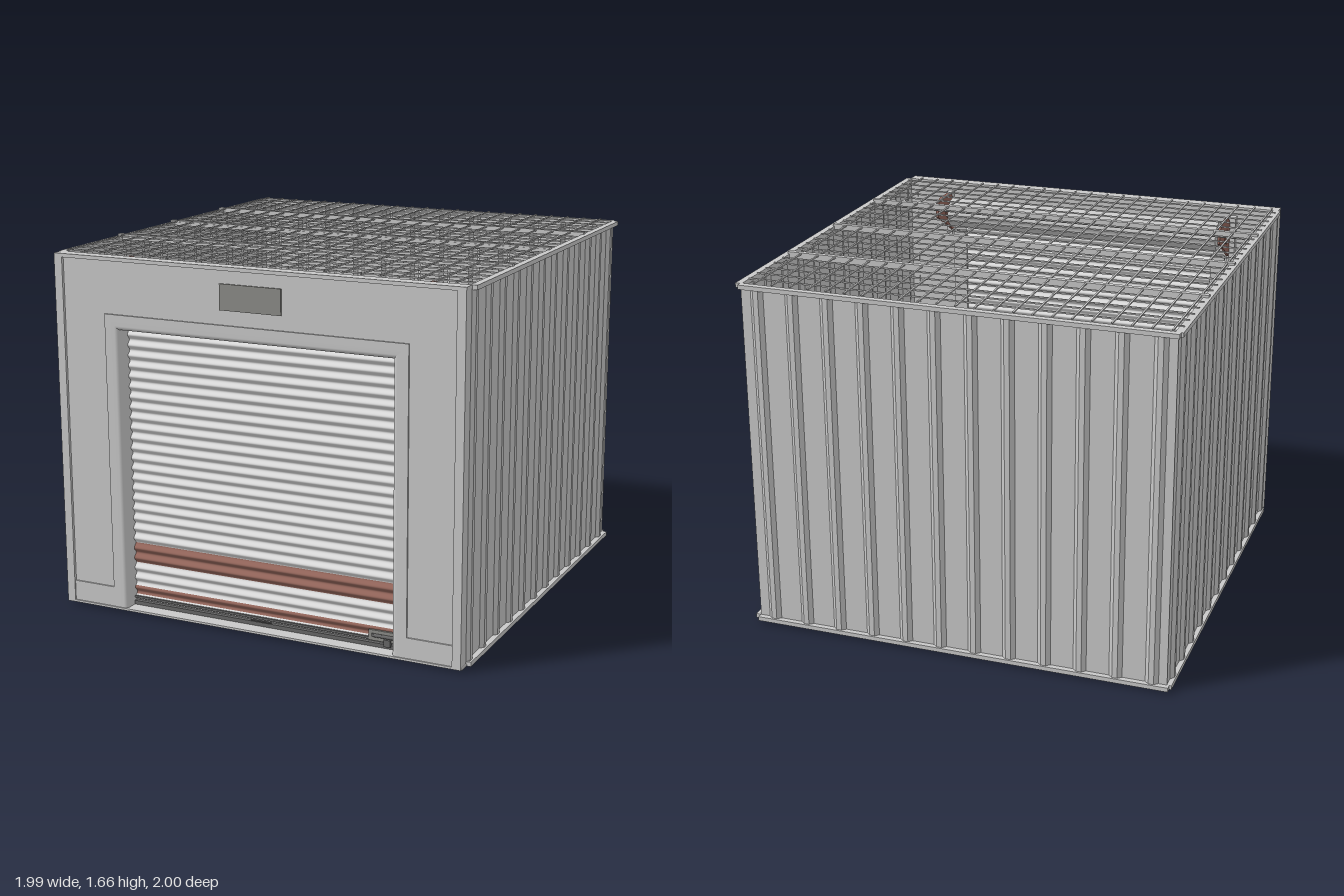
import * as THREE from 'three';

const paint = (name, color, side = THREE.FrontSide) =>
  Object.assign(new THREE.MeshStandardMaterial({ color, side }), { name });

export function createModel() {
  const root = new THREE.Group();
  root.name = 'storageUnit';
  const grey = paint('wallGrey', 0xc9c9c9, THREE.DoubleSide);
  const light = paint('curtainLightGrey', 0xdcdcdc, THREE.DoubleSide);
  const brown = paint('rustBrown', 0x94665b, THREE.DoubleSide);
  const signGrey = paint('signGrey', 0x8c8c88);
  const dark = paint('darkMetal', 0x686868);

  const add = (name, geo, mat, parent = root) => {
    const m = new THREE.Mesh(geo, mat);
    m.name = name;
    parent.add(m);
    return m;
  };
  // Box given by its limits
  const box = (name, x0, x1, y0, y1, z0, z1, mat = grey, parent = root) => {
    const m = add(name, new THREE.BoxGeometry(x1 - x0, y1 - y0, z1 - z0), mat, parent);
    m.position.set((x0 + x1) / 2, (y0 + y1) / 2, (z0 + z1) / 2);
    return m;
  };
  const group = (name) => {
    const g = new THREE.Group();
    g.name = name;
    root.add(g);
    return g;
  };
  const polygon = (pts) => new THREE.Shape(pts.map(([x, y]) => new THREE.Vector2(x, y)));
  const rodX = (name, r, x0, x1, y, z, mat, parent, sides = 16) => {
    const m = add(name, new THREE.CylinderGeometry(r, r, x1 - x0, sides), mat, parent);
    m.rotation.z = Math.PI / 2;
    m.position.set((x0 + x1) / 2, y, z);
    return m;
  };

  // Floor
  box('floor', -0.99, 0.975, 0.012, 0.02, -0.99, 0.995);

  // Ribbed sheet wall: plan profile with outward ribs, extruded upwards
  const ribbedWall = (name, u0, u1, firstRib) => {
    const outer = [[u0, 0]];
    for (let k = 0; k < 12; k++) {
      const c = firstRib + 0.164 * k;
      outer.push([c - 0.03, 0], [c - 0.012, 0.016], [c + 0.012, 0.016], [c + 0.03, 0]);
    }
    outer.push([u1, 0]);
    const inner = outer.map(([u, d]) => [u, d - 0.004]).reverse();
    const geo = new THREE.ExtrudeGeometry(polygon([...outer, ...inner]),
      { depth: 1.61, bevelEnabled: false });
    geo.rotateX(-Math.PI / 2);
    return add(name, geo, grey);
  };
  ribbedWall('backWall', -0.98, 0.965, -0.912).position.set(0, 0.02, -0.975);
  const sideLeft = ribbedWall('sideWallLeft', -0.975, 0.94, -0.891);
  sideLeft.rotation.y = -Math.PI / 2;
  sideLeft.position.set(0.968, 0.02, 0);
  const sideRight = ribbedWall('sideWallRight', -0.94, 0.975, -0.913);
  sideRight.rotation.y = Math.PI / 2;
  sideRight.position.set(-0.978, 0.02, 0);

  // Top and bottom tracks holding the wall sheets
  for (const [y0, y1] of [[0.012, 0.032], [1.625, 1.645]]) {
    box('sideTrackLeft', 0.962, 0.993, y0, y1, -0.975, 0.94);
    box('sideTrackRight', -1, -0.965, y0, y1, -0.975, 0.94);
    box('backTrack', -0.99, 0.97, y0, y1, -1, -0.968);
  }

  // Front panel with a doorway, open at the floor
  const front = group('frontFacade');
  const panel = new THREE.ExtrudeGeometry(polygon([
    [-0.985, 0.02], [-0.74, 0.02], [-0.74, 1.39], [0.72, 1.39],
    [0.72, 0.02], [0.965, 0.02], [0.965, 1.64], [-0.985, 1.64],
  ]), { depth: 0.045, bevelEnabled: false });
  panel.translate(0, 0, 0.942);
  add('frontPanel', panel, grey, front);
  box('cornerPostRight', -0.99, -0.95, 0.012, 1.645, 0.94, 1, grey, front);
  box('cornerPostLeft', 0.93, 0.97, 0.012, 1.645, 0.94, 1, grey, front);
  box('headerTrack', -0.95, 0.93, 1.628, 1.645, 0.94, 1, grey, front);
  box('threshold', -0.95, 0.93, 0.012, 0.022, 0.9, 1, grey, front);
  box('kickPlateRight', -0.95, -0.74, 0.02, 0.115, 0.986, 0.994, grey, front);
  box('kickPlateLeft', 0.72, 0.93, 0.02, 0.115, 0.986, 0.994, grey, front);
  box('signPlate', -0.16, 0.135, 1.455, 1.57, 0.986, 0.994, signGrey, front);

  // Door surround: flat face, rounded inner edge and a deep return,
  // swept along both jambs and the head; repeated points keep edges sharp
  const profile = [[0, 0.985], [0, 0.995], [0, 0.995], [0.03, 0.995]];
  for (let i = 0; i <= 6; i++) {
    const a = (i / 6) * Math.PI / 2;
    profile.push([0.05 + 0.02 * Math.sin(a), 0.975 + 0.02 * Math.cos(a)]);
  }
  profile.push([0.07, 0.9]);
  const corner = [
    (t) => [-0.74 + t, 0.02], (t) => [-0.74 + t, 1.39 - t],
    (t) => [0.72 - t, 1.39 - t], (t) => [0.72 - t, 0.02],
  ];
  ['jambRight', 'doorHead', 'jambLeft'].forEach((name, s) => {
    const pos = [], idx = [];
    profile.forEach(([t, z], i) => {
      pos.push(...corner[s](t), z, ...corner[s + 1](t), z);
      if (i && i !== 2) {
        const a = 2 * i - 2;
        idx.push(a, a + 2, a + 1, a + 1, a + 2, a + 3);
      }
    });
    const geo = new THREE.BufferGeometry();
    geo.setAttribute('position', new THREE.Float32BufferAttribute(pos, 3));
    geo.setIndex(idx);
    geo.computeVertexNormals();
    add(name, geo, grey, front);
  });

  // Roll-up curtain: waved slats in coloured bands
  const door = group('rollerDoor');
  const pitch = 0.0475, base = 0.03;
  const slats = (name, from, to, mat) => {
    const h = (to - from) * pitch;
    const geo = new THREE.PlaneGeometry(1.33, h, 1, Math.round((to - from) * 20));
    geo.translate(-0.015, base + from * pitch + h / 2, 0);
    const p = geo.attributes.position;
    for (let i = 0; i < p.count; i++) {
      const k = (p.getY(i) - base) / pitch;
      p.setZ(i, 0.915 - 0.008 * Math.cos(2 * Math.PI * k));
    }
    geo.computeVertexNormals();
    add(name, geo, mat, door);
  };
  slats('lowestSlat', 0, 0.8, light);
  slats('lowerBrownStripe', 0.8, 1.7, brown);
  slats('middleSlats', 1.7, 4, light);
  slats('upperBrownStripe', 4, 6, brown);
  slats('mainSlats', 6, 30, light);

  box('bottomBar', -0.67, 0.64, 0.02, 0.04, 0.9, 0.932, dark, door);
  box('bottomAngle', -0.67, 0.64, 0.052, 0.062, 0.9, 0.928, dark, door);
  rodX('liftHandle', 0.004, -0.06, 0.04, 0.047, 0.935, dark, door, 8);
  box('floorPin', -0.017, -0.007, 0, 0.045, 0.895, 0.905, dark, door);

  // Latch
  const latch = group('latch');
  box('latchPlate', 0.515, 0.635, 0.05, 0.098, 0.915, 0.932, signGrey, latch);
  rodX('latchBolt', 0.008, 0.54, 0.64, 0.075, 0.934, dark, latch, 10);
  box('padlock', 0.592, 0.622, 0.034, 0.066, 0.93, 0.945, dark, latch);
  for (const x of [0.53, 0.575]) {
    box('latchRivet', x, x + 0.012, 0.068, 0.083, 0.93, 0.937, dark, latch);
  }

  // Fluted drum of rolled-up slats, on a shaft between two brackets
  const drum = new THREE.CylinderGeometry(0.074, 0.074, 1.41, 96);
  const dp = drum.attributes.position;
  for (let i = 0; i < dp.count; i++) {
    if (Math.hypot(dp.getX(i), dp.getZ(i)) < 0.01) continue;
    const s = 0.975 + 0.025 * Math.cos(12 * Math.atan2(dp.getZ(i), dp.getX(i)));
    dp.setX(i, dp.getX(i) * s);
    dp.setZ(i, dp.getZ(i) * s);
  }
  drum.computeVertexNormals();
  const roll = add('curtainRoll', drum, grey, door);
  roll.rotation.z = Math.PI / 2;
  roll.position.set(-0.015, 1.52, 0.825);
  rodX('rollShaft', 0.012, -0.765, 0.735, 1.52, 0.825, dark, door);
  for (const side of [-1, 1]) {
    const x = -0.015 + side * 0.737;
    const plate = new THREE.ExtrudeGeometry(polygon([
      [-0.92, 1.4], [-0.9, 1.4], [-0.8, 1.46], [-0.69, 1.52],
      [-0.69, 1.59], [-0.74, 1.61], [-0.86, 1.61], [-0.92, 1.56],
    ]), { depth: 0.012, bevelEnabled: false });
    plate.rotateY(Math.PI / 2);
    add('rollBracket', plate, brown, door).position.x = x - 0.006;
    rodX('bracketHub', 0.035, x - 0.012, x + 0.012, 1.52, 0.825, brown, door);
    const g = -0.015 + side * 0.69;
    box('doorGuide', g - 0.035, g + 0.035, 0.02, 1.4, 0.89, 0.902, grey, door);
    const f = -0.015 + side * 0.755;
    box('bracketFlange', f - 0.015, f + 0.015, 1.36, 1.6, 0.905, 0.942, grey, door);
  }

  // Roof: three beams and a wire grid
  const roof = group('meshRoof');
  for (const z of [-0.5, -0.015, 0.465]) {
    box('roofBeam', -0.99, 0.97, 1.625, 1.656, z - 0.012, z + 0.012, grey, roof);
  }
  for (let i = 0; i < 23; i++) {
    const z = -0.9 + i * 0.0815;
    box('crossWire', -0.985, 0.965, 1.643, 1.649, z - 0.004, z + 0.004, grey, roof);
  }
  for (let i = 0; i < 23; i++) {
    const x = -0.955 + i * 0.0845;
    box('longWire', x - 0.004, x + 0.004, 1.648, 1.654, -0.975, 0.945, grey, roof);
  }
  return root;
}
